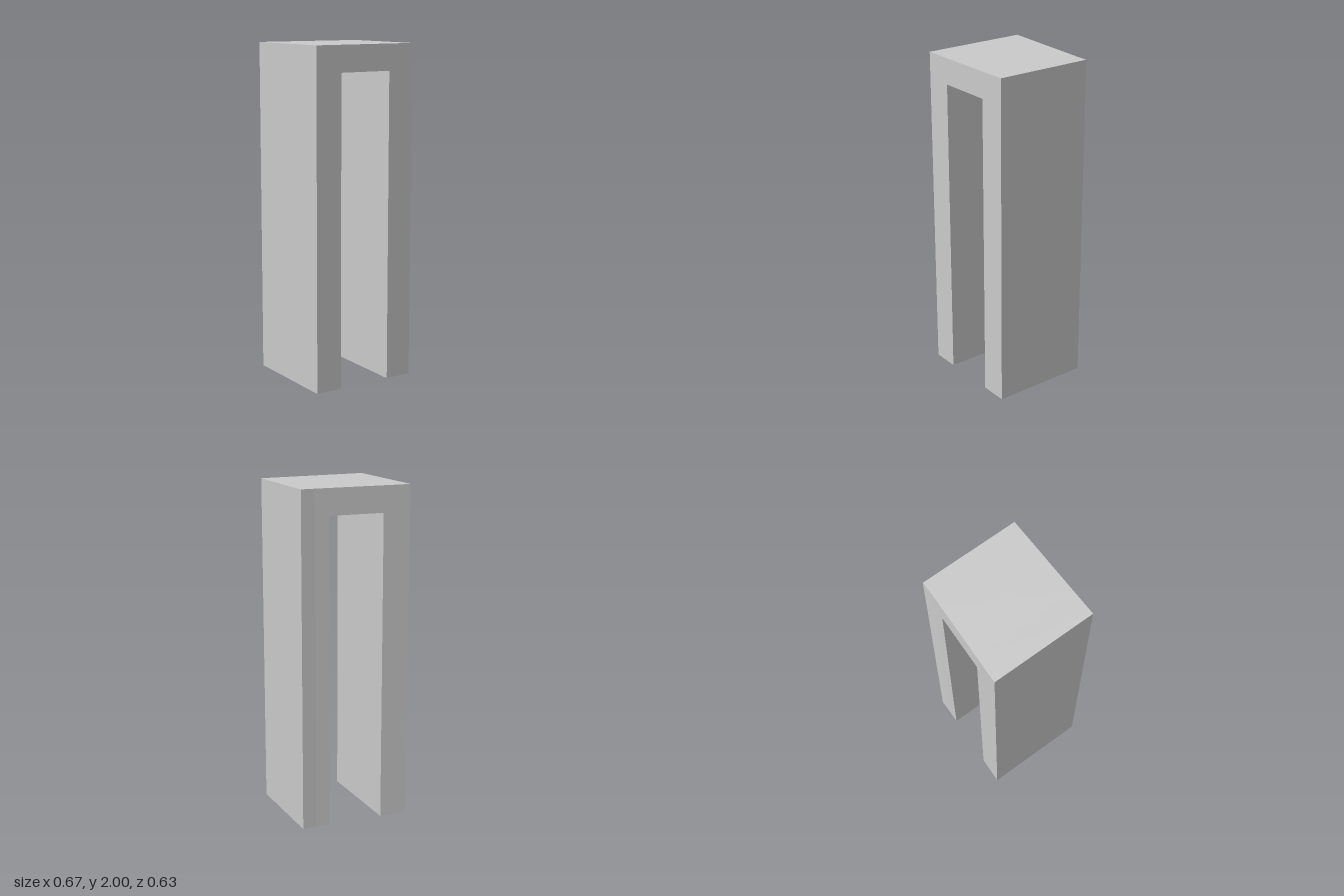
import * as THREE from 'three';

const HALF = 0.333, INNER = 0.167, KINK = 0.25, TOP = 2, OPENING = 1.845;

// Slightly skewed plan: depth of the front and back walls at a given x
const frontZ = (x) => THREE.MathUtils.mapLinear(x, -HALF, HALF, 0.316, 0.305);
const backZ = (x) => (x >= KINK ? -0.291 : THREE.MathUtils.mapLinear(x, -HALF, KINK, -0.316, -0.291));

const material = new THREE.MeshStandardMaterial({ color: 0xcccccc, flatShading: true });

// Solid bays between x stations from y0 to TOP; ends lists side walls as [x, direction, height]
function makePart(name, stations, y0, ends) {
  const pos = [];
  const quad = (a, b, c, d) => pos.push(...a, ...b, ...c, ...a, ...c, ...d);
  for (let i = 0; i < stations.length - 1; i++) {
    const l = stations[i], r = stations[i + 1];
    const F = (x, y) => [x, y, frontZ(x)], B = (x, y) => [x, y, backZ(x)];
    quad(F(l, y0), F(r, y0), F(r, TOP), F(l, TOP)); // front
    quad(B(r, y0), B(l, y0), B(l, TOP), B(r, TOP)); // back
    quad(F(l, TOP), F(r, TOP), B(r, TOP), B(l, TOP)); // top
    quad(B(l, y0), B(r, y0), F(r, y0), F(l, y0)); // underside
  }
  for (const [x, dir, height] of ends) {
    const [z0, z1] = dir > 0 ? [frontZ(x), backZ(x)] : [backZ(x), frontZ(x)];
    quad([x, y0, z0], [x, y0, z1], [x, height, z1], [x, height, z0]);
  }
  const geometry = new THREE.BufferGeometry();
  geometry.setAttribute('position', new THREE.Float32BufferAttribute(pos, 3));
  geometry.computeVertexNormals();
  const mesh = new THREE.Mesh(geometry, material);
  mesh.name = name;
  return mesh;
}

export function createModel() {
  const group = new THREE.Group();
  group.name = 'archway';
  group.add(
    // Posts run full height; the inner walls stop where the lintel joins
    makePart('rightPost', [-HALF, -INNER], 0, [[-HALF, -1, TOP], [-INNER, 1, OPENING]]),
    makePart('lintel', [-INNER, INNER], OPENING, []),
    makePart('leftPost', [INNER, KINK, HALF], 0, [[INNER, -1, OPENING], [HALF, 1, TOP]]),
  );
  return group;
}
